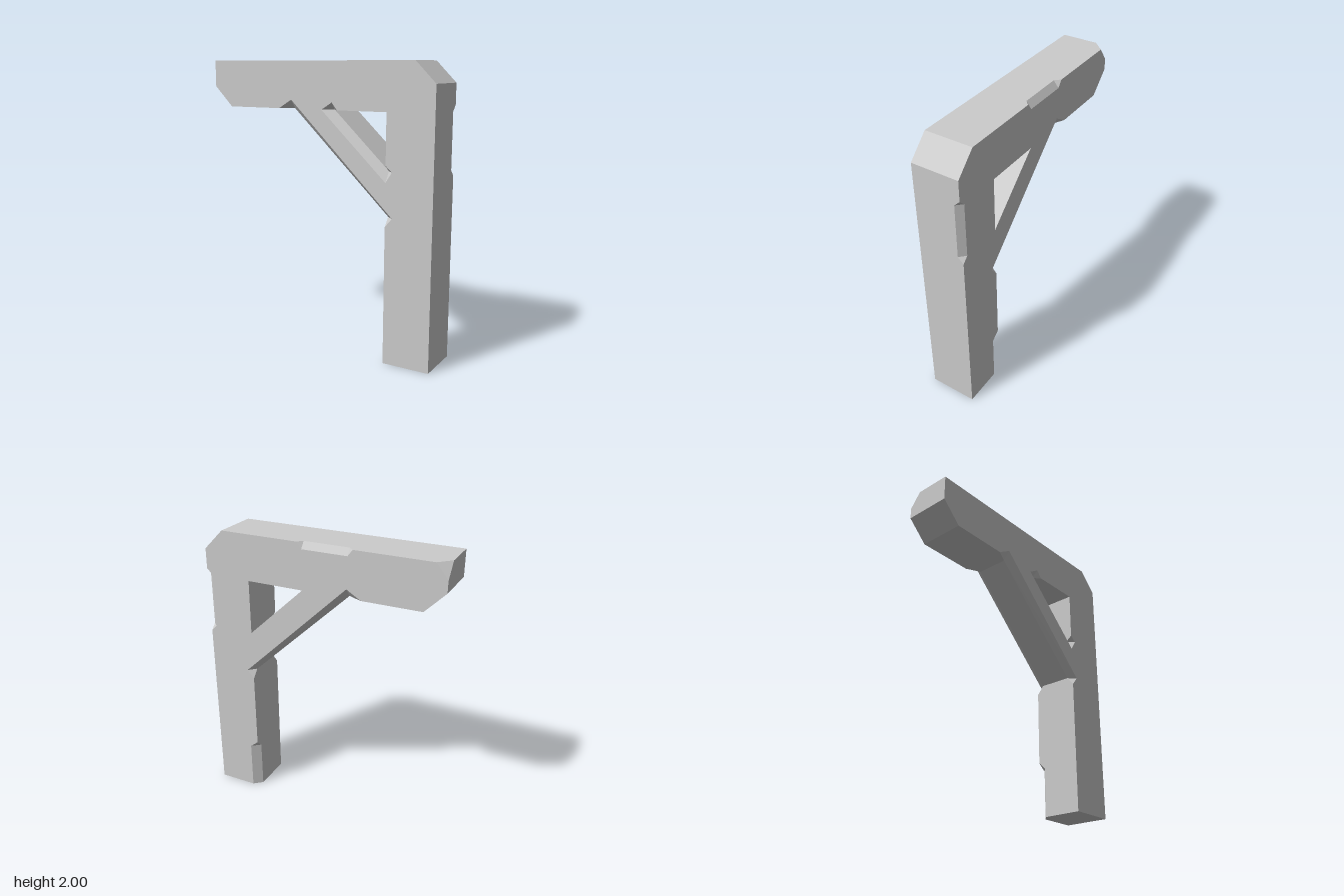
import * as THREE from 'three';

const F = 0.165;  // half depth of the timbers
const I = 0.115;  // depth at which the brace chamfers end

// Collects flat faces into one named mesh; 'out' is a rough outward direction
function faceBuilder(name, material) {
  const positions = [];
  const face = (out, points, hole = []) => {
    const toV = p => new THREE.Vector3(...p);
    const ring = points.map(toV), inner = hole.map(toV);
    // Newell normal picks the axis to drop for triangulating
    const n = new THREE.Vector3();
    ring.forEach((p, i) => n.add(p.clone().cross(ring[(i + 1) % ring.length])));
    const [ax, ay, az] = [Math.abs(n.x), Math.abs(n.y), Math.abs(n.z)];
    const flat = v => az >= ax && az >= ay ? new THREE.Vector2(v.x, v.y)
      : ax >= ay ? new THREE.Vector2(v.y, v.z) : new THREE.Vector2(v.x, v.z);
    const all = [...ring, ...inner], dir = toV(out);
    const holes = inner.length ? [inner.map(flat)] : [];
    for (const [a, b, c] of THREE.ShapeUtils.triangulateShape(ring.map(flat), holes)) {
      const tn = all[b].clone().sub(all[a]).cross(all[c].clone().sub(all[a]));
      const order = tn.dot(dir) < 0 ? [a, c, b] : [a, b, c];
      order.forEach(k => positions.push(...all[k].toArray()));
    }
  };
  const build = () => {
    const g = new THREE.BufferGeometry();
    g.setAttribute('position', new THREE.Float32BufferAttribute(positions, 3));
    g.computeVertexNormals();
    const mesh = new THREE.Mesh(g, material);
    mesh.name = name;
    return mesh;
  };
  return { face, build };
}

export function createModel() {
  const group = new THREE.Group();
  group.name = 'timberBracket';
  const material = new THREE.MeshStandardMaterial({ color: 0xcccccc, flatShading: true });
  const at = (z, list) => list.map(([x, y]) => [x, y, z]);

  // Front and back faces of post, beam and brace
  const sides = faceBuilder('frameFaces', material);
  const underside = [[0.52, 0.94], [0.57, 1], [-0.2, 1.74], [-0.3, 1.68], [-0.71, 1.68], [-0.85, 1.82]];
  sides.face([0, 0, 1],
    at(F, [[-0.85, 2], [0.71, 2], [0.85, 1.86], [0.85, 0], [0.52, 0], ...underside]),
    at(F, [[0.04, 1.68], [0.12, 1.73], [0.16, 1.68], [0.52, 1.68], [0.52, 1.34], [0.565, 1.3], [0.52, 1.23]]));
  sides.face([0, 0, -1],
    at(-F, [[-0.77, 2], [-0.24, 2], [-0.205, 1.955], [0.115, 1.955], [0.15, 2], [0.71, 2], [0.85, 1.86],
      [0.85, 1.72], [0.81, 1.68], [0.81, 1.3], [0.85, 1.26], [0.85, 0],
      [0.58, 0], [0.58, 0.35], [0.52, 0.4], ...underside, [-0.85, 1.9]]),
    at(-F, [[0.115, 1.68], [0.52, 1.68], [0.52, 1.3]]));
  group.add(sides.build());

  // Beam: top, end, sloped corners and underside
  const beam = faceBuilder('beam', material);
  beam.face([0, 1, 0], [[-0.85, 2, F], [0.71, 2, F], [0.71, 2, -F], [0.15, 2, -F], [0.115, 2, -0.13],
    [-0.205, 2, -0.13], [-0.24, 2, -F], [-0.77, 2, -F], [-0.85, 2, -0.085]]);
  beam.face([-1, 0, 0], [[-0.85, 2, F], [-0.85, 1.82, F], [-0.85, 1.82, -F], [-0.85, 1.9, -F], [-0.85, 2, -0.085]]);
  beam.face([1, 1, 0], [[0.71, 2, F], [0.85, 1.86, F], [0.85, 1.86, -F], [0.71, 2, -F]]);
  beam.face([-1, -1, 0], [[-0.85, 1.82, F], [-0.71, 1.68, F], [-0.71, 1.68, -F], [-0.85, 1.82, -F]]);
  beam.face([0, -1, 0], [[-0.71, 1.68, F], [-0.3, 1.68, F], [-0.2, 1.68, I],
    [-0.2, 1.68, -I], [-0.3, 1.68, -F], [-0.71, 1.68, -F]]);
  beam.face([0, -1, 0], [[0.16, 1.68, F], [0.115, 1.68, I], [0.115, 1.68, -F], [0.52, 1.68, -F], [0.52, 1.68, F]]);
  group.add(beam.build());

  // Post: outer side, inner side above and below the brace, foot
  const post = faceBuilder('post', material);
  post.face([1, 0, 0], [[0.85, 0, F], [0.85, 1.86, F], [0.85, 1.86, -F], [0.85, 1.72, -F],
    [0.85, 1.68, -0.125], [0.85, 1.3, -0.125], [0.85, 1.26, -F], [0.85, 0, -F]]);
  post.face([-1, 0, 0], [[0.52, 0, F], [0.52, 0.94, F], [0.52, 1, I], [0.52, 1, -I], [0.52, 0.94, -F],
    [0.52, 0.4, -F], [0.52, 0.35, -I], [0.52, 0, -I]]);
  post.face([-1, 0, 0], [[0.52, 1.34, F], [0.52, 1.3, I], [0.52, 1.3, -F], [0.52, 1.68, -F], [0.52, 1.68, F]]);
  post.face([0, -1, 0], [[0.52, 0, F], [0.85, 0, F], [0.85, 0, -F], [0.58, 0, -F], [0.52, 0, -I]]);
  group.add(post.build());

  // Brace: underside and upper side, with chamfers running out into post and beam
  const brace = faceBuilder('brace', material);
  brace.face([-1, -1, 0], [[-0.2, 1.68, I], [0.52, 1, I], [0.52, 1, -I], [-0.2, 1.68, -I]]);
  brace.face([1, 1, 0], [[0.115, 1.68, I], [0.52, 1.3, I], [0.52, 1.3, -F], [0.115, 1.68, -F]]);
  for (const s of [1, -1]) {
    const top = [-0.2, 1.68, s * I], low = [0.52, 1, s * I];
    const topTip = [-0.2, 1.74, s * F], lowTip = [0.57, 1, s * F];
    brace.face([-1, -1, s], [topTip, lowTip, low, top]);
    brace.face([0, -1, s], [[-0.3, 1.68, s * F], topTip, top]);
    brace.face([-1, 0, s], [lowTip, [0.52, 0.94, s * F], low]);
  }
  const upper = [0.115, 1.68, I], lower = [0.52, 1.3, I];
  const upperTip = [0.12, 1.73, F], lowerTip = [0.565, 1.3, F];
  brace.face([1, 1, 1], [[0.04, 1.68, F], upper, lower, [0.52, 1.23, F]]);
  brace.face([0, -1, 1], [[0.04, 1.68, F], upperTip, upper]);
  brace.face([0, -1, 1], [upperTip, [0.16, 1.68, F], upper]);
  brace.face([-1, 0, 1], [[0.52, 1.23, F], lowerTip, lower]);
  brace.face([-1, 0, 1], [lowerTip, [0.52, 1.34, F], lower]);
  group.add(brace.build());

  // Chipped edges on the back
  const chips = faceBuilder('chippedEdges', material);
  // along the beam top
  chips.face([0, 1, -1], [[-0.205, 2, -0.13], [0.115, 2, -0.13], [0.115, 1.955, -F], [-0.205, 1.955, -F]]);
  chips.face([1, 1, -1], [[-0.24, 2, -F], [-0.205, 2, -0.13], [-0.205, 1.955, -F]]);
  chips.face([-1, 1, -1], [[0.15, 2, -F], [0.115, 2, -0.13], [0.115, 1.955, -F]]);
  // along the outer post edge
  chips.face([1, 0, -1], [[0.85, 1.68, -0.125], [0.85, 1.3, -0.125], [0.81, 1.3, -F], [0.81, 1.68, -F]]);
  chips.face([1, -1, -1], [[0.85, 1.72, -F], [0.85, 1.68, -0.125], [0.81, 1.68, -F]]);
  chips.face([1, 1, -1], [[0.85, 1.26, -F], [0.85, 1.3, -0.125], [0.81, 1.3, -F]]);
  // inner post foot
  chips.face([-1, 0, -1], [[0.52, 0, -I], [0.58, 0, -F], [0.58, 0.35, -F], [0.52, 0.35, -I]]);
  chips.face([-1, -1, -1], [[0.52, 0.4, -F], [0.58, 0.35, -F], [0.52, 0.35, -I]]);
  // beam end corner
  chips.face([-1, 1, -1], [[-0.77, 2, -F], [-0.85, 2, -0.085], [-0.85, 1.9, -F]]);
  group.add(chips.build());

  return group;
}
